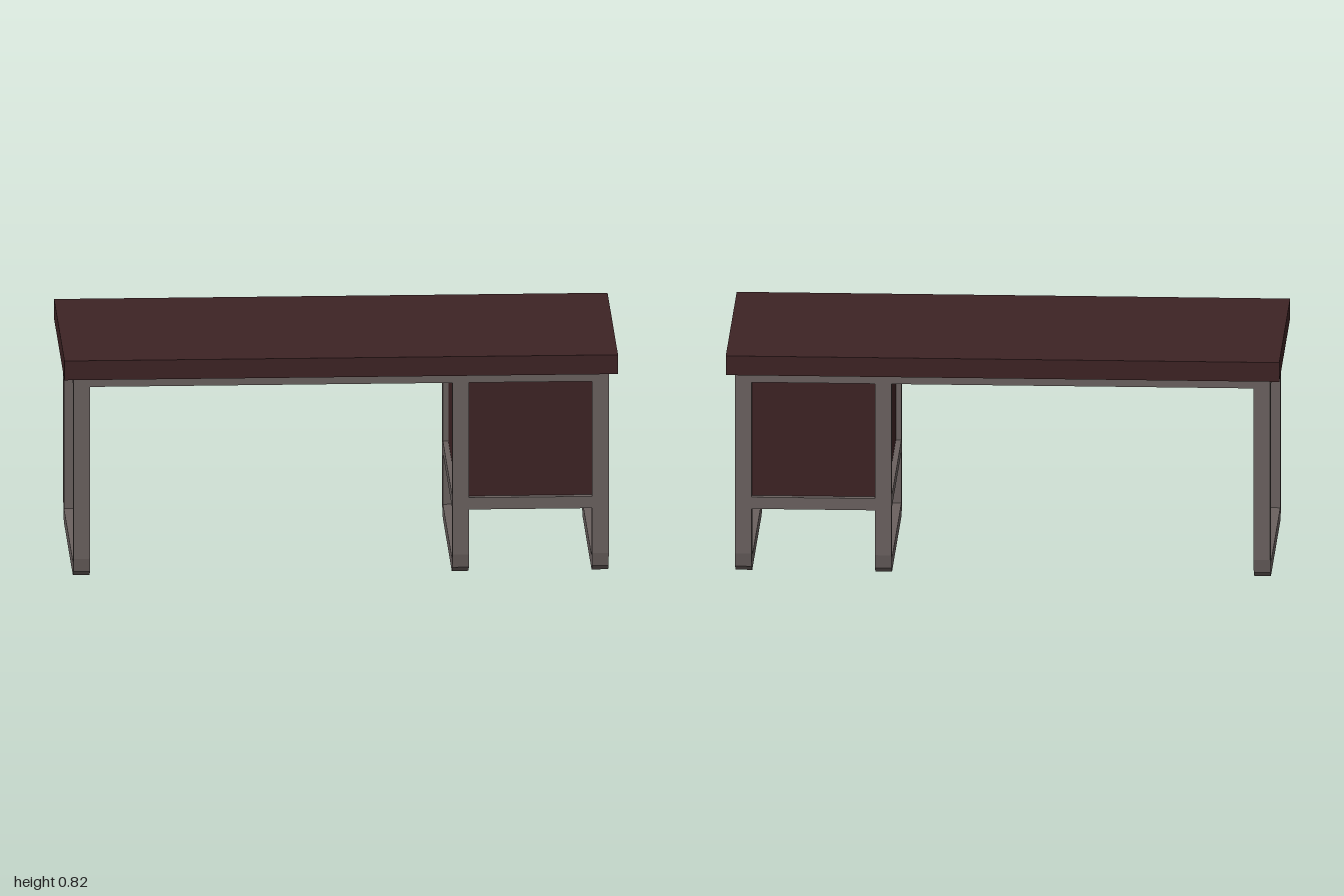
import * as THREE from 'three';

export function createModel() {
  const desk = new THREE.Group();
  desk.name = 'desk';
  const wood = new THREE.MeshStandardMaterial({ color: 0x3d2324 });
  wood.name = 'darkWood';
  const metal = new THREE.MeshStandardMaterial({ color: 0x6a615f });
  metal.name = 'greyMetal';

  // Box given by its minimum and maximum corners
  function box(name, material, [x0, y0, z0], [x1, y1, z1]) {
    const mesh = new THREE.Mesh(new THREE.BoxGeometry(x1 - x0, y1 - y0, z1 - z0), material);
    mesh.position.set((x0 + x1) / 2, (y0 + y1) / 2, (z0 + z1) / 2);
    mesh.name = name;
    desk.add(mesh);
  }

  const topY = 0.745, railY = 0.717;
  const outZ = 0.425, inZ = 0.372;
  const shelfLow = 0.243, shelfHigh = 0.287;

  // Tabletop
  box('tabletop', wood, [-1, topY, -0.433], [1, 0.817, 0.433]);

  function rectHole(y0, y1) {
    return new THREE.Path([[-inZ, y0], [-inZ, y1], [inZ, y1], [inZ, y0]]
      .map(p => new THREE.Vector2(...p)));
  }

  // Loop-shaped leg frame with chamfered feet, extruded across x
  function legFrame(name, x0, x1, holes) {
    const half = [[inZ, 0], [0.415, 0.025], [outZ, 0.075], [outZ, topY]];
    const mirrored = half.map(([z, y]) => [-z, y]).reverse();
    const shape = new THREE.Shape([...half, ...mirrored].map(p => new THREE.Vector2(...p)));
    shape.holes = holes.map(h => rectHole(...h));
    const geometry = new THREE.ExtrudeGeometry(shape, { depth: x1 - x0, bevelEnabled: false });
    geometry.rotateY(-Math.PI / 2); // depth now runs toward -x
    const mesh = new THREE.Mesh(geometry, metal);
    mesh.position.x = x1;
    mesh.name = name;
    desk.add(mesh);
  }
  const cabinetHoles = [[0.05, shelfLow], [shelfHigh, railY]];
  legFrame('rightLegFrame', -0.967, -0.907, [[0.05, railY]]);
  legFrame('middleLegFrame', 0.402, 0.462, cabinetHoles);
  legFrame('leftLegFrame', 0.907, 0.967, cabinetHoles);

  // Cross rails on the front and back
  for (const [side, z0, z1] of [['front', inZ, outZ], ['back', -outZ, -inZ]]) {
    box(side + 'TopRailLong', metal, [-0.907, railY, z0], [0.402, topY, z1]);
    box(side + 'TopRailCabinet', metal, [0.462, railY, z0], [0.907, topY, z1]);
    box(side + 'CabinetRail', metal, [0.462, shelfLow, z0], [0.907, shelfHigh, z1]);
  }

  // Cabinet panels set into the frames
  const t = 0.01, low = 0.265, high = 0.735;
  for (const s of [-1, 1]) {
    const z = s * 0.395;
    box(s > 0 ? 'cabinetFront' : 'cabinetBack', wood, [0.44, low, z - t / 2], [0.93, high, z + t / 2]);
  }
  for (const [name, x] of [['cabinetInnerSide', 0.427], ['cabinetOuterSide', 0.942]]) {
    box(name, wood, [x - t / 2, low, -0.39], [x + t / 2, high, 0.39]);
  }
  box('cabinetFloor', wood, [0.44, 0.26, -0.39], [0.93, 0.27, 0.39]);

  return desk;
}
